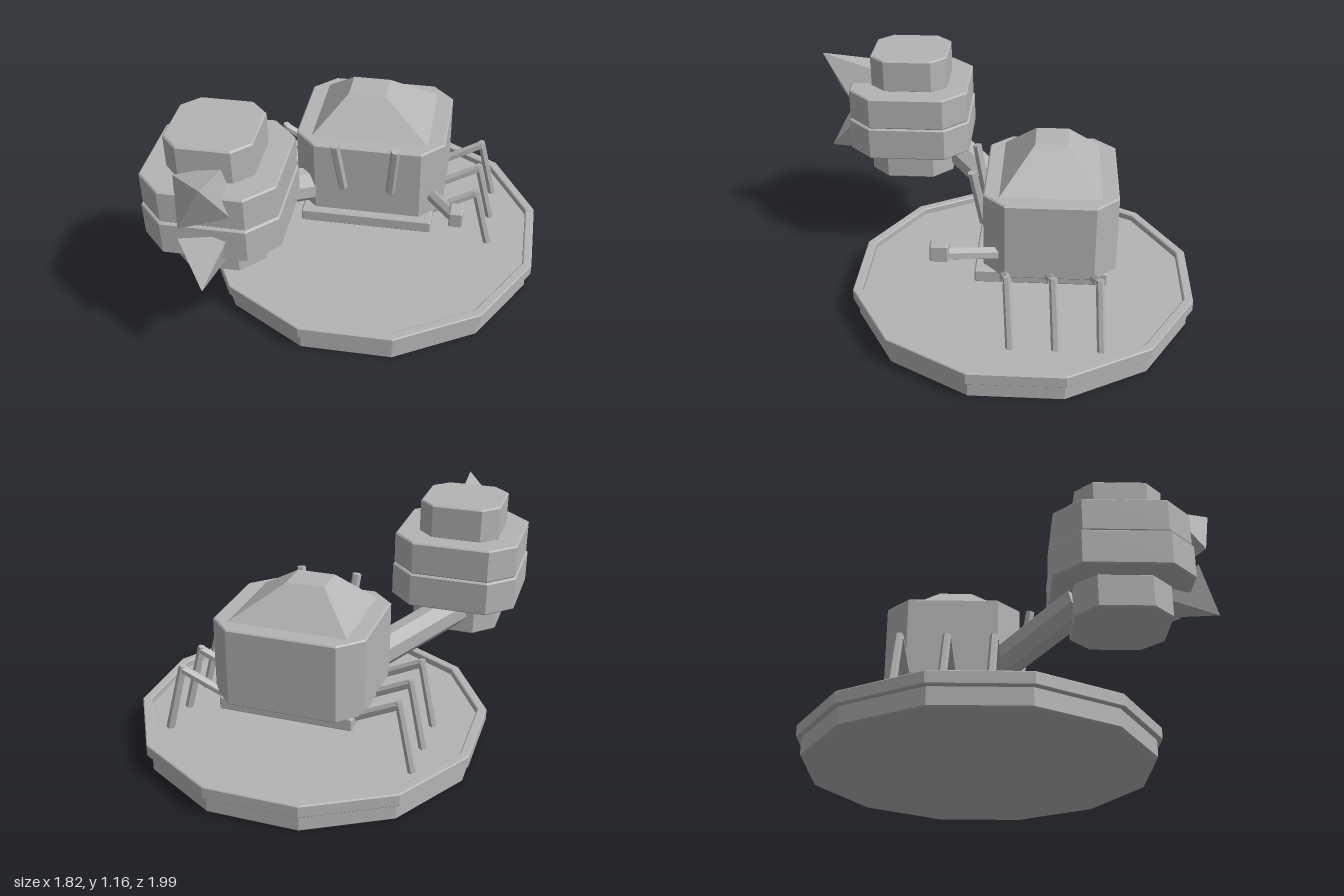
import * as THREE from 'three';

const gray = new THREE.MeshStandardMaterial({ color: 0xb4b4b4 });
const V = (x, y, z) => new THREE.Vector3(x, y, z);

// Faceted mesh: every face keeps its own normal
function part(name, geometry) {
  const g = geometry.index ? geometry.toNonIndexed() : geometry;
  g.computeVertexNormals();
  const mesh = new THREE.Mesh(g, gray);
  mesh.name = name;
  return mesh;
}

// Block with clipped corners and a fine bevel, given by its extents
function block(name, [x0, x1], [y0, y1], [z0, z1], cut) {
  const b = 0.007, w = (x1 - x0) / 2 - b, d = (z1 - z0) / 2 - b;
  const c = Math.max(cut - b * 0.6, 0.002);
  const shape = new THREE.Shape([
    [w - c, -d], [w, -d + c], [w, d - c], [w - c, d],
    [-w + c, d], [-w, d - c], [-w, -d + c], [-w + c, -d],
  ].map(([x, y]) => new THREE.Vector2(x, y)));
  const g = new THREE.ExtrudeGeometry(shape, {
    depth: y1 - y0 - 2 * b, bevelSize: b, bevelThickness: b, bevelSegments: 1,
  });
  g.rotateX(-Math.PI / 2);
  g.translate((x0 + x1) / 2, y0 + b, (z0 + z1) / 2);
  return part(name, g);
}

// Straight faceted bar between two points
function bar(name, a, b, rA, rB, sides) {
  const dir = b.clone().sub(a);
  const g = new THREE.CylinderGeometry(rB, rA, dir.length(), sides);
  g.rotateY(Math.PI / sides);
  const mesh = part(name, g);
  mesh.position.copy(a).add(b).multiplyScalar(0.5);
  mesh.quaternion.setFromUnitVectors(V(0, 1, 0), dir.normalize());
  return mesh;
}

// Pyramid on a four-cornered base; corners run counter-clockwise seen from the tip
function spike(name, tip, base) {
  const tris = [];
  base.forEach((p, i) => tris.push(p, base[(i + 1) % 4], tip));
  tris.push(base[0], base[2], base[1], base[0], base[3], base[2]);
  return part(name, new THREE.BufferGeometry().setFromPoints(tris));
}

// Twelve-sided stand with a raised rim
function stand() {
  const profile = [
    [0, 0], [0.875, 0], [0.88, 0.005], [0.88, 0.09], [0.902, 0.09], [0.907, 0.095],
    [0.907, 0.15], [0.902, 0.155], [0.864, 0.155], [0.858, 0.15], [0.858, 0.12], [0, 0.12],
  ].map(([r, y]) => new THREE.Vector2(r, y));
  const g = new THREE.LatheGeometry(profile, 12);
  g.rotateY(Math.PI / 12);
  g.translate(0.03, 0, -0.122);
  return part('stand', g);
}

// Truncated pyramid roof
function roof() {
  const y0 = 0.755, y1 = 0.93;
  const ring = (x0, x1, z0, z1, y) => [V(x0, y, z1), V(x1, y, z1), V(x1, y, z0), V(x0, y, z0)];
  const lo = ring(-0.277, 0.332, -0.51, -0.005, y0);
  const hi = ring(-0.106, 0.084, -0.34, -0.175, y1);
  const tris = [hi[0], hi[1], hi[2], hi[0], hi[2], hi[3]];
  for (let i = 0; i < 4; i++) {
    const j = (i + 1) % 4;
    tris.push(lo[i], lo[j], hi[j], lo[i], hi[j], hi[i]);
  }
  return part('roof', new THREE.BufferGeometry().setFromPoints(tris));
}

export function createModel() {
  const model = new THREE.Group();
  model.add(stand());

  // Body
  model.add(
    block('bodyPlinth', [-0.314, 0.367], [0.297, 0.366], [-0.547, 0.11], 0.004),
    block('body', [-0.356, 0.41], [0.355, 0.76], [-0.59, 0.069], 0.11),
    roof(),
  );

  // Three bent legs on each side
  const cx = 0.027;
  for (const s of [-1, 1]) {
    for (const z of [-0.01, -0.23, -0.45]) {
      const leg = new THREE.Group();
      leg.name = s > 0 ? 'leftLeg' : 'rightLeg';
      const hip = V(cx + s * 0.325, 0.338, z - 0.025);
      const knee = V(cx + s * 0.557, 0.46, z - 0.05);
      const foot = V(cx + s * 0.635, 0.12, z - 0.072);
      leg.add(
        bar('upperLeg', hip, knee, 0.024, 0.024, 6),
        bar('lowerLeg', knee.clone().add(V(-s * 0.004, 0.017, 0)), foot, 0.02, 0.022, 6),
      );
      model.add(leg);
    }
  }

  // Two rods leaning off the front of the body
  for (const s of [-1, 1]) {
    model.add(bar('frontRod', V(cx + s * 0.122, 0.52, 0.077), V(cx + s * 0.152, 0.815, 0.13), 0.024, 0.024, 6));
  }

  // Small arm with a block hand
  const hand = block('hand', [0.468, 0.536], [0.518, 0.605], [0.218, 0.307], 0.004);
  model.add(bar('smallArm', V(0.355, 0.465, 0.0), V(0.495, 0.54, 0.25), 0.032, 0.032, 6), hand);

  // Thick arm carrying the raised head
  model.add(bar('thickArm', V(-0.28, 0.455, -0.01), V(-0.61, 0.61, 0.34), 0.088, 0.088, 8));

  // Stacked head
  const head = new THREE.Group();
  head.name = 'head';
  head.add(
    block('headBottom', [-0.813, -0.367], [0.484, 0.65], [0.297, 0.747], 0.1),
    block('headLowerTier', [-0.912, -0.265], [0.645, 0.82], [0.196, 0.848], 0.125),
    block('headUpperTier', [-0.904, -0.271], [0.82, 0.99], [0.205, 0.84], 0.122),
    block('headTop', [-0.795, -0.384], [0.985, 1.16], [0.316, 0.728], 0.08),
    spike('upperSpike', V(-0.523, 1.147, 0.995), [
      V(-0.664, 0.878, 0.935), V(-0.455, 0.878, 0.83), V(-0.511, 1.044, 0.67), V(-0.72, 1.044, 0.775),
    ]),
    spike('lowerSpike', V(-0.567, 0.575, 0.995), [
      V(-0.693, 0.775, 0.885), V(-0.69, 0.6, 0.7), V(-0.48, 0.6, 0.66), V(-0.474, 0.775, 0.83),
    ]),
  );
  model.add(head);
  return model;
}
